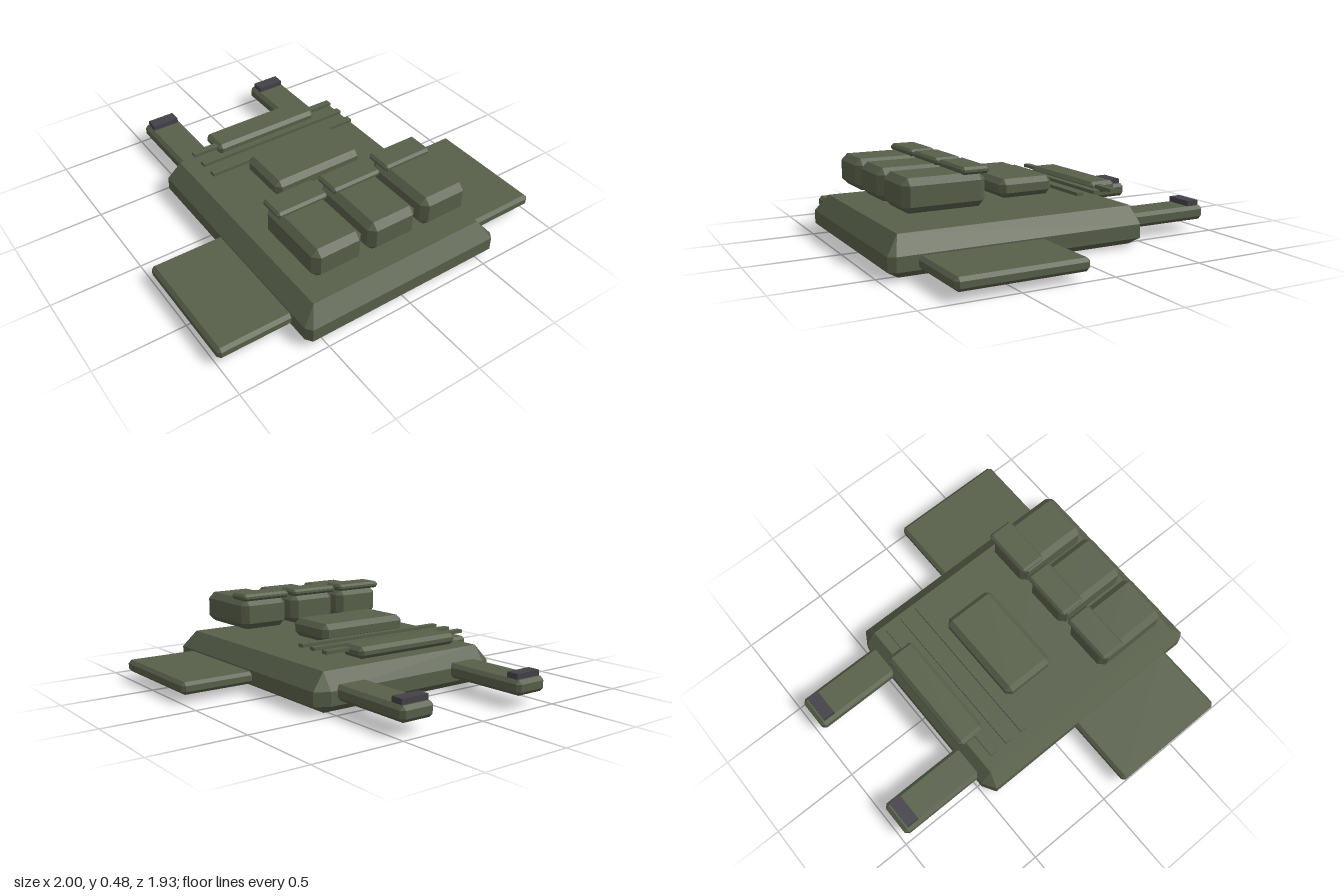
import * as THREE from 'three';
import { ConvexGeometry } from 'three/addons/geometries/ConvexGeometry.js';

const fabric = new THREE.MeshStandardMaterial({ color: 0x575f49 });
fabric.name = 'olive fabric';
const plastic = new THREE.MeshStandardMaterial({ color: 0x434148 });
plastic.name = 'dark plastic';

// Box between two limits per axis, with every edge cut at 45 degrees
function chamferBox([x0, x1], [y0, y1], [z0, z1], c) {
  const pts = [];
  const half = [(x1 - x0) / 2, (y1 - y0) / 2, (z1 - z0) / 2];
  const mid = [(x0 + x1) / 2, (y0 + y1) / 2, (z0 + z1) / 2];
  for (const sx of [-1, 1]) for (const sy of [-1, 1]) for (const sz of [-1, 1]) {
    const s = [sx, sy, sz];
    for (let full = 0; full < 3; full++) {
      const p = s.map((sign, i) => mid[i] + sign * (half[i] - (i === full ? 0 : c)));
      pts.push(new THREE.Vector3(...p));
    }
  }
  return new ConvexGeometry(pts);
}

function plainBox([x0, x1], [y0, y1], [z0, z1]) {
  return new THREE.BoxGeometry(x1 - x0, y1 - y0, z1 - z0)
    .translate((x0 + x1) / 2, (y0 + y1) / 2, (z0 + z1) / 2);
}

// Main panel: small flat faces top and bottom, wider rim with clipped corners
function panelGeometry() {
  const pts = [];
  for (const s of [-1, 1]) {
    for (const y of [0, 0.21]) {
      pts.push(new THREE.Vector3(s * 0.52, y, -0.42), new THREE.Vector3(s * 0.52, y, 0.895));
    }
    for (const y of [0.045, 0.12]) {
      for (const [x, z] of [[0.52, -0.485], [0.595, -0.44], [0.595, 0.93], [0.57, 0.965]]) {
        pts.push(new THREE.Vector3(s * x, y, z));
      }
    }
  }
  return new ConvexGeometry(pts);
}

export function createModel() {
  const model = new THREE.Group();
  model.name = 'plateCarrier';
  const add = (name, geometry, material = fabric) => {
    const mesh = new THREE.Mesh(geometry, material);
    mesh.name = name;
    model.add(mesh);
    return mesh;
  };

  add('mainPanel', panelGeometry());

  // Side wings, shoulder straps and buckles
  for (const [side, s] of [['left', 1], ['right', -1]]) {
    const span = (a, b) => (s > 0 ? [a, b] : [-b, -a]);
    add(side + 'SideWing', chamferBox(span(0.57, 1), [0.045, 0.112], [0.133, 0.82], 0.018));
    add(side + 'ShoulderStrap', chamferBox(span(0.28, 0.48), [0.065, 0.145], [-0.97, -0.44], 0.02));
    add(side + 'Buckle', plainBox(span(0.3, 0.46), [0.14, 0.175], [-0.94, -0.87]), plastic);
  }

  // Magazine pouches with flaps
  for (const [i, x] of [-0.33, 0, 0.33].entries()) {
    add('pouch' + (i + 1), chamferBox([x - 0.145, x + 0.145], [0.28, 0.45], [0.4, 0.84], 0.034));
    add('pouchFlap' + (i + 1), chamferBox([x - 0.148, x + 0.148], [0.445, 0.483], [0.388, 0.537], 0.013));
  }

  // Chest patches
  add('centrePouch', chamferBox([-0.275, 0.275], [0.26, 0.36], [-0.093, 0.217], 0.028));
  add('upperPouch', chamferBox([-0.323, 0.323], [0.247, 0.308], [-0.468, -0.302], 0.02));

  // Webbing strips
  for (let i = 0; i < 3; i++) {
    const z = -0.353 + i * 0.104;
    add('webbingStrip' + (i + 1), plainBox([-0.465, 0.465], [0.277, 0.295], [z - 0.019, z + 0.019]));
  }
  return model;
}
